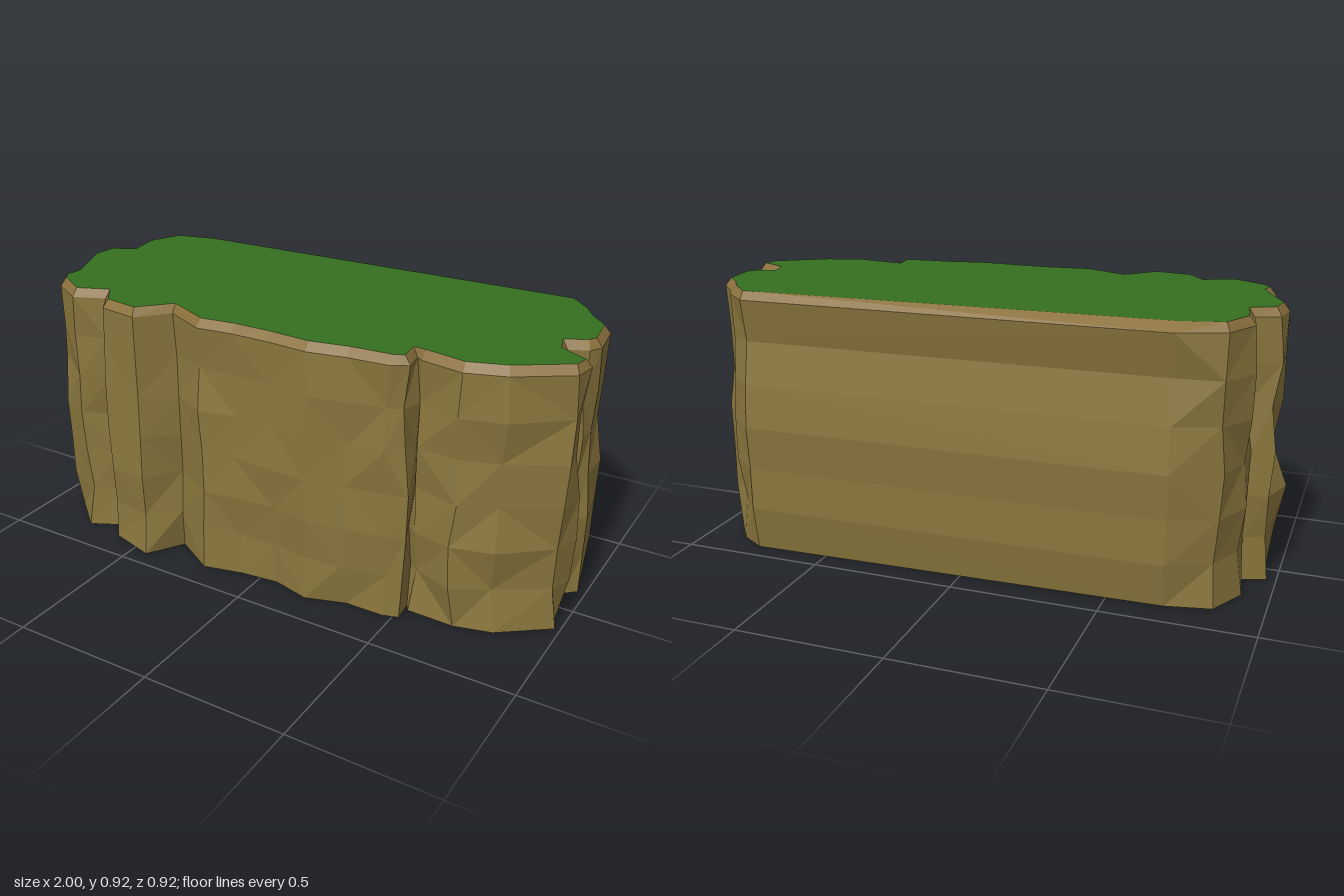
import * as THREE from 'three';

// Plateau outline at the top as [x, z], from the back corner round the model's left side, front and right side
const OUTLINE = [
  [-0.69, -0.385], [0.76, -0.43], [0.83, -0.36], [0.87, -0.30], [0.93, -0.235], [0.945, -0.11],
  [0.93, -0.085], [0.86, -0.05], [0.88, 0.02], [0.975, 0.07], [0.965, 0.12], [0.80, 0.23],
  [0.68, 0.27], [0.54, 0.245], [0.495, 0.24], [0.505, 0.315], [0.47, 0.33], [0.33, 0.34],
  [0.20, 0.365], [0.06, 0.355], [-0.08, 0.355], [-0.20, 0.37], [-0.355, 0.30], [-0.45, 0.40],
  [-0.575, 0.38], [-0.635, 0.30], [-0.745, 0.345], [-0.85, 0.28], [-0.875, 0.245], [-0.865, 0.19],
  [-0.95, 0], [-0.94, -0.08], [-0.86, -0.12], [-0.88, -0.24], [-0.83, -0.35],
];
const TOP = 0.928;
const LEVELS = [0.01, 0.16, 0.31, 0.46, 0.61, 0.755, 0.9];
const RIM_OUTSET = 0.022;

// Outward bulge per level at the main ridges, keyed by outline index
const RIDGES = {
  0: [0.0, 0.025, 0.025, 0.035, 0.015, -0.01, 0.02],
  1: [-0.02, 0.005, 0.005, 0.015, 0, -0.025, 0],
  9: [-0.035, 0, 0.01, 0.005, -0.02, -0.02, 0],
  23: [0.03, 0.005, 0.015, 0.005, 0, 0, 0],
  30: [-0.02, 0.0, 0.03, -0.025, 0, 0, 0],
};

function seeded(seed) {
  return () => {
    seed = (seed * 16807) % 2147483647;
    return (seed / 2147483647) * 2 - 1;
  };
}

// Outward direction at an outline point
function outward(i) {
  const n = OUTLINE.length;
  const a = OUTLINE[(i + n - 1) % n];
  const b = OUTLINE[(i + 1) % n];
  return new THREE.Vector2(b[1] - a[1], a[0] - b[0]).normalize();
}

// One closed ring of the cliff at a given level
function cliffRing(level, random) {
  const y = LEVELS[level];
  const isTop = level === LEVELS.length - 1;
  return OUTLINE.map(([x, z], i) => {
    const dir = outward(i);
    const ridge = RIDGES[i];
    const rough = isTop ? 0 : random() * 0.016;
    const slide = isTop || ridge ? 0 : random() * 0.013;
    const out = RIM_OUTSET + (ridge ? ridge[level] : rough);
    const lift = level === 0 ? random() * 0.005 : 0;
    return new THREE.Vector3(x + dir.x * out - dir.y * slide, y + lift, z + dir.y * out + dir.x * slide);
  });
}

// Faceted band between each pair of neighbouring rings
function loft(rings) {
  const points = [];
  for (let r = 0; r < rings.length - 1; r++) {
    const low = rings[r];
    const high = rings[r + 1];
    for (let i = 0; i < low.length; i++) {
      const j = (i + 1) % low.length;
      if ((i + r) % 3) points.push(low[j], low[i], high[i], low[j], high[i], high[j]);
      else points.push(low[j], low[i], high[j], low[i], high[i], high[j]);
    }
  }
  const geometry = new THREE.BufferGeometry().setFromPoints(points);
  geometry.computeVertexNormals();
  return geometry;
}

export function createModel() {
  const material = (name, color) => {
    const m = new THREE.MeshStandardMaterial({ color, flatShading: true, side: THREE.DoubleSide });
    m.name = name;
    return m;
  };
  const rock = material('rock', 0x8a763d);
  const edge = material('earth edge', 0x8a703c);
  const grass = material('grass', 0x357020);

  const group = new THREE.Group();
  group.name = 'cliff';
  const add = (name, geometry, mat) => {
    const mesh = new THREE.Mesh(geometry, mat);
    mesh.name = name;
    group.add(mesh);
    return mesh;
  };

  // Rough rock wall, open underneath
  const random = seeded(4217);
  const rings = LEVELS.map((_, level) => cliffRing(level, random));
  add('rockWall', loft(rings), rock);

  // Bevelled rim leaning in to the grass
  const topRing = OUTLINE.map(([x, z]) => new THREE.Vector3(x, TOP, z));
  add('rim', loft([rings[rings.length - 1], topRing]), edge);

  // Flat grass top
  const shape = new THREE.Shape(OUTLINE.map(([x, z]) => new THREE.Vector2(x, -z)));
  const cap = new THREE.ShapeGeometry(shape);
  cap.rotateX(-Math.PI / 2);
  add('grassTop', cap, grass).position.y = TOP;

  return group;
}
